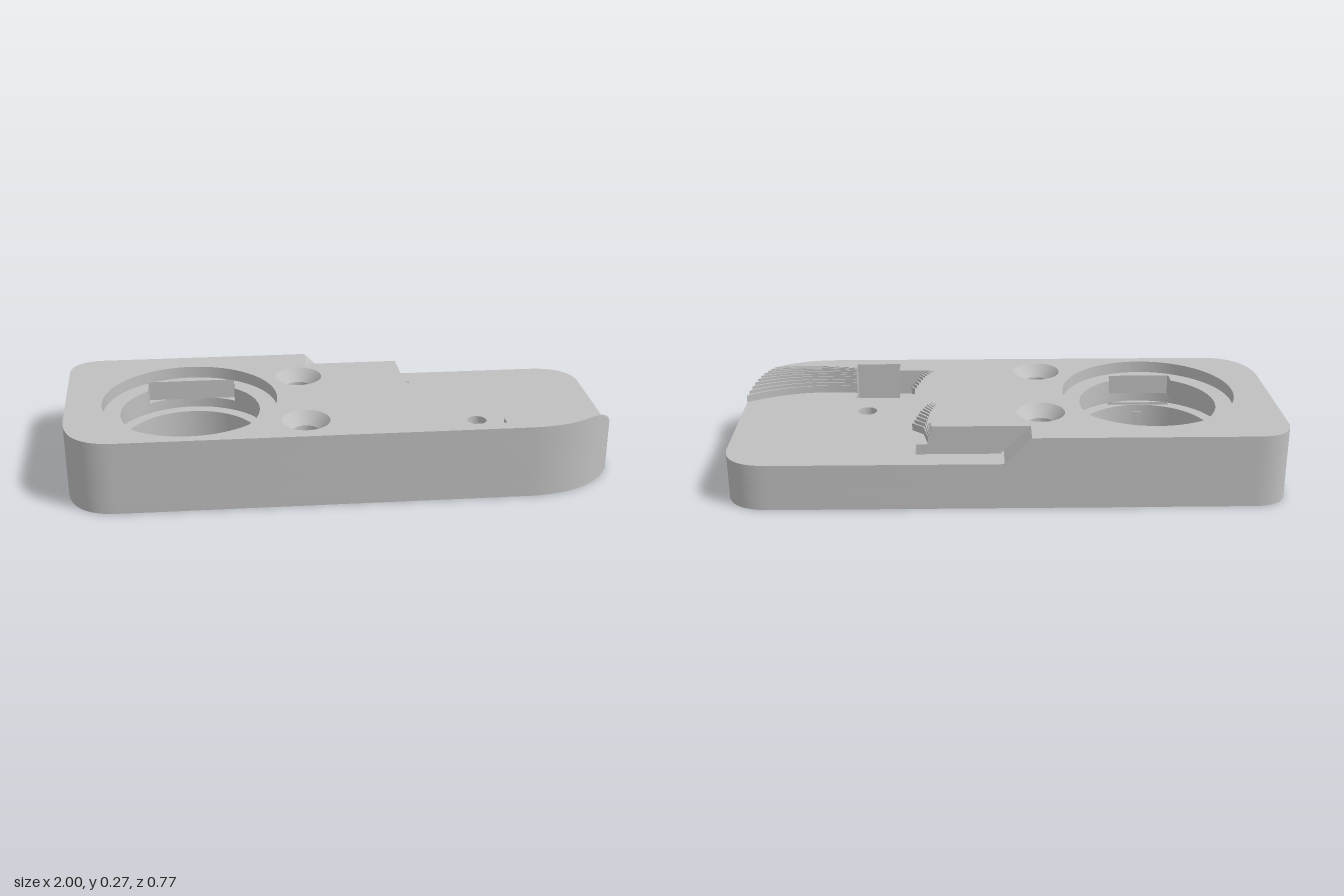
import * as THREE from 'three';
import { toCreasedNormals } from 'three/addons/utils/BufferGeometryUtils.js';

// Plan coordinates are [x, z]
const P = (x, z) => new THREE.Vector2(x, z);
const bez = (a, c, b, n = 14) => new THREE.QuadraticBezierCurve(P(...a), P(...c), P(...b)).getPoints(n);
const rect = (x0, z0, x1, z1) => [P(x0, z0), P(x1, z0), P(x1, z1), P(x0, z1)];
const arc = (x, z, r, a0, a1, n) => Array.from({ length: n }, (_, i) => {
  const a = a0 + (a1 - a0) * i / n;
  return P(x + r * Math.cos(a), z + r * Math.sin(a));
});
const circle = (x, z, r, n = 40) => arc(x, z, r, 0, Math.PI * 2, n);
const scaled = (pts, sx, sz) => pts.map(p => P(p.x * sx, p.y * sz));

// Corner curves shared by the base and the raised part
const backLeft = bez([-1, -0.28], [-0.995, -0.387], [-0.87, -0.387]);
const frontLeft = bez([-0.8, 0.387], [-0.965, 0.38], [-0.98, 0.19]);
const noseCurve = new THREE.QuadraticBezierCurve(P(0.66, 0.387), P(0.9, 0.385), P(1, 0.19));
const backRight = bez([1, -0.25], [0.99, -0.387], [0.83, -0.387]);
const backAndNose = [...backLeft, ...backRight.slice().reverse(), ...noseCurve.getPoints(20).reverse()];
const outline = [...backAndNose, ...frontLeft];

const LENS = [-0.535, 0.03];

// Large bore with a rectangular notch at the back and at the front
function notchedBore() {
  const n = 240;
  return Array.from({ length: n }, (_, i) => {
    const a = i / n * Math.PI * 2, c = Math.cos(a), s = Math.sin(a);
    const [w, d] = s < 0 ? [0.165, 0.285] : [0.12, 0.28];
    const r = Math.max(0.255, Math.min(w / Math.max(Math.abs(c), 1e-6), d / Math.max(Math.abs(s), 1e-6)));
    return P(LENS[0] + r * c, LENS[1] + r * s);
  });
}

// Raised outline; k runs from 0 at the deck to 1 at the top as the cradle widens
function raisedOutline(k, undercut) {
  const t = 1 - 0.42 * k;
  const nose = Array.from({ length: 17 }, (_, i) => noseCurve.getPoint(i / 16 * t));
  const end = nose[nose.length - 1];
  const inner = bez([0.58, 0.28 + 0.02 * k], [0.82 - 0.06 * k, 0.315 + 0.025 * k], [end.x, end.y], 16);
  const lip = undercut
    ? [P(0.02, -0.28), P(0.02, -0.215), P(0.282 - 0.015 * k, -0.215)]
    : [P(0.265, -0.28), P(0.282 - 0.015 * k, -0.215)];
  return [...backLeft, P(-0.085, -0.387), P(-0.085, -0.28), ...lip,
    P(0.302 - 0.05 * k, -0.125 + 0.035 * k), P(0.345 - 0.08 * k, -0.09 + 0.035 * k),
    P(0.35 - 0.08 * k, 0.25), P(0.365 - 0.08 * k, 0.268), P(0.41, 0.27),
    P(0.41, 0.338), P(0.58, 0.338), ...inner.slice(0, -1), ...nose.reverse(), ...frontLeft];
}

export function createModel() {
  const group = new THREE.Group();
  const grey = new THREE.MeshStandardMaterial({ color: 0xc0c0c0, side: THREE.DoubleSide });
  grey.name = 'plain grey';

  const add = (name, geo) => {
    const mesh = new THREE.Mesh(geo, grey);
    mesh.name = name;
    group.add(mesh);
    return mesh;
  };
  const flip = pts => pts.map(p => P(p.x, -p.y));
  const layer = (name, y0, y1, shapePts, holes) => {
    const shape = new THREE.Shape(flip(shapePts));
    shape.holes = holes.map(h => new THREE.Path(flip(h)));
    const geo = new THREE.ExtrudeGeometry(shape, { depth: y1 - y0, bevelEnabled: false });
    geo.rotateX(-Math.PI / 2).translate(0, y0, 0);
    return add(name, toCreasedNormals(geo, 0.5));
  };

  const [backScrew, frontScrew] = [[-0.125, -0.157], [-0.125, 0.25]];
  const screws = r => [backScrew, frontScrew].map(([x, z]) => circle(x, z, r));
  const pin = circle(0.525, 0.095, 0.036, 28);
  const pockets = [rect(0.02, -0.3, 0.325, -0.215), rect(0.41, 0.225, 0.58, 0.338)];
  const bore = r => circle(...LENS, r, 96);

  // Underside: outer rim and centre panel with a groove between them;
  // the front screw hole breaks through the panel edge
  const PANEL_X = 0.895, PANEL_Z = 0.74;
  const cut = Math.asin((0.387 * PANEL_Z - frontScrew[1]) / 0.05);
  const panel = [...scaled(backAndNose, PANEL_X, PANEL_Z),
    ...arc(...frontScrew, 0.05, cut, -Math.PI - cut, 30),
    ...scaled(frontLeft, PANEL_X, PANEL_Z)];
  layer('bottomRim', 0, 0.08, outline, [scaled(outline, 0.955, 0.89)]);
  layer('bottomPanel', 0, 0.08, panel, [bore(0.255), circle(...backScrew, 0.05), pin]);

  // Base: floor, bayonet groove and deck
  layer('floorPlate', 0.08, 0.11, outline,
    [bore(0.255), rect(-0.655, 0.287, -0.415, 0.31), ...screws(0.05), pin]);
  layer('bayonetLayer', 0.11, 0.15, outline, [bore(0.3), ...screws(0.05), pin, ...pockets]);
  layer('deckLayer', 0.15, 0.172, outline, [notchedBore(), ...screws(0.05), pin, ...pockets]);

  // Raised part in terraces that follow a concave curve
  const STEPS = 10;
  const height = k => 0.2 + 0.07 * (1 - (1 - k) ** 2);
  const ledge = height(0.2);
  for (let i = 0; i <= STEPS; i++) {
    const y0 = i ? height((i - 1) / STEPS) : 0.172;
    const y1 = height(i / STEPS);
    layer('raisedTerrace' + (i + 1), y0, y1, raisedOutline(i / STEPS, y1 < 0.246),
      i <= 2 ? [notchedBore(), ...screws(0.05)] : [bore(0.32), ...screws(0.088)]);
  }

  // Countersinks of the screw holes
  [backScrew, frontScrew].forEach(([x, z], i) => {
    const cone = add('countersink' + (i + 1),
      new THREE.LatheGeometry([P(0.05, ledge), P(0.088, 0.27)], 40));
    cone.position.set(x, 0, z);
  });

  // Ramp from the raised part down to the deck along the back edge
  const ramp = new THREE.ExtrudeGeometry(
    new THREE.Shape([P(-0.085, 0.172), P(0.01, 0.172), P(-0.085, 0.27)]),
    { depth: 0.107, bevelEnabled: false });
  add('backRamp', ramp.translate(0, 0, -0.387));

  return group;
}
